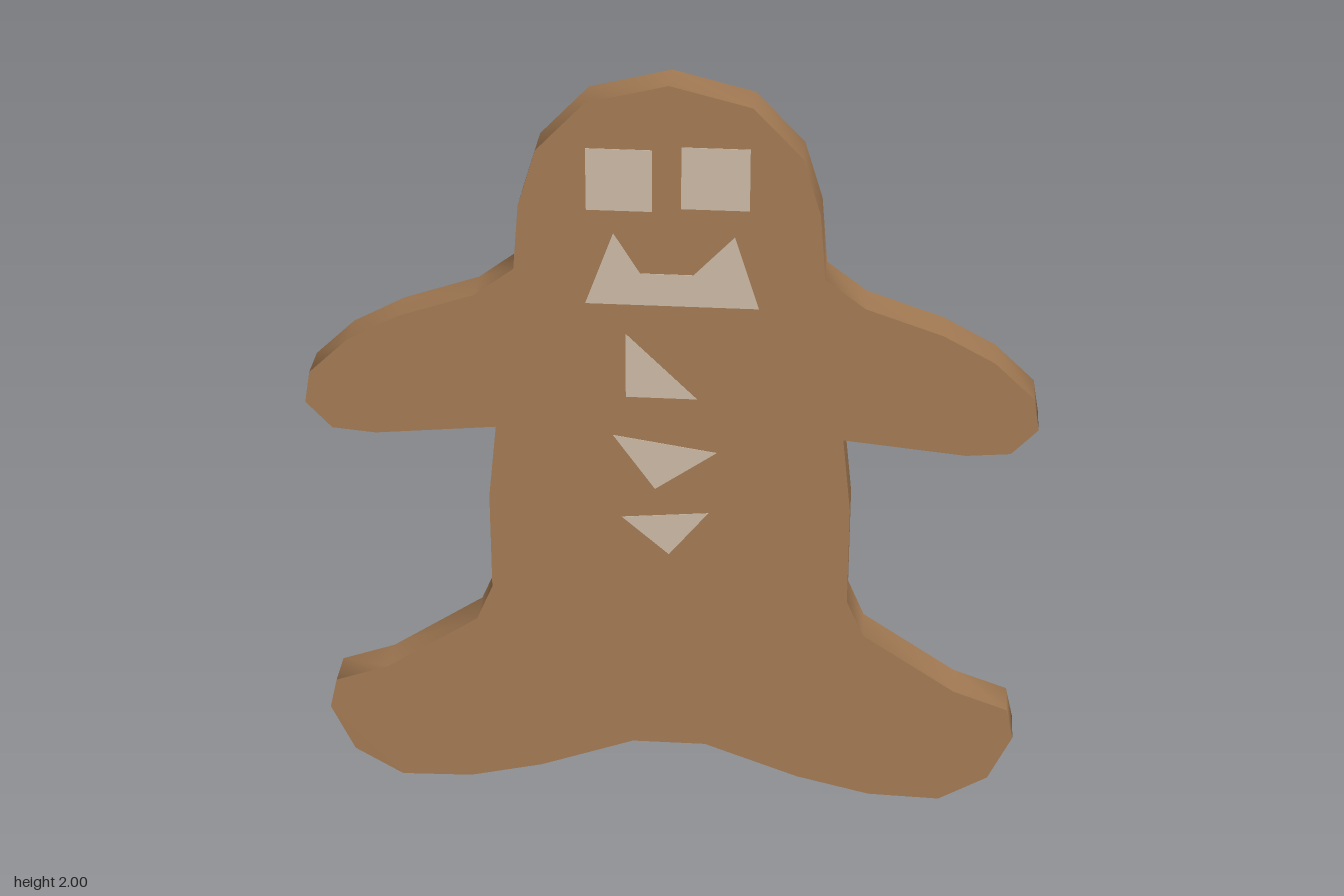
import * as THREE from 'three';
import { toCreasedNormals } from 'three/addons/utils/BufferGeometryUtils.js';

const BACK = -0.0525, FRONT = 0.0515;

// Flat slab cut from a list of [x, y] corners, between two depths
function slab(points, z0, z1) {
  const shape = new THREE.Shape(points.map(([x, y]) => new THREE.Vector2(x, y)));
  const geometry = new THREE.ExtrudeGeometry(shape, { depth: z1 - z0, bevelEnabled: false });
  return geometry.translate(0, 0, z0);
}

export function createModel() {
  const group = new THREE.Group();
  group.name = 'gingerbreadCookie';

  const gingerbread = new THREE.MeshStandardMaterial({ color: 0xa47b54 });
  gingerbread.name = 'gingerbread brown';
  const icing = new THREE.MeshStandardMaterial({ color: 0xcdbba6 });
  icing.name = 'pale icing';

  function add(name, geometry, material) {
    const mesh = new THREE.Mesh(geometry, material);
    mesh.name = name;
    group.add(mesh);
  }

  // Left half of the outline, from the crown down to the crotch
  const half = [
    [0, 2], [0.2, 1.95], [0.32, 1.825], [0.365, 1.68], [0.38, 1.51], // head
    [0.48, 1.435], [0.67, 1.37], [0.8, 1.3], [0.9, 1.205], [0.915, 1.12], // arm
    [0.85, 1.05], [0.74, 1.04], [0.435, 1.07],
    [0.457, 0.87], [0.457, 0.6], [0.5, 0.5], // waist
    [0.74, 0.34], [0.88, 0.29], [0.9, 0.205], [0.84, 0.075], // leg
    [0.715, 0], [0.53, 0.005], [0.34, 0.05], [0.095, 0.14],
  ];
  const mirrored = half.slice(1).reverse().map(([x, y]) => [-x, y]);

  // Body: soft rim, sharp edges to the flat faces
  const body = slab([...half, ...mirrored], BACK, FRONT);
  add('body', toCreasedNormals(body, 1.45), gingerbread);

  // Icing: thin plates on the front face
  const decorations = {
    rightEye: [[-0.2, 1.675], [-0.04, 1.675], [-0.04, 1.835], [-0.2, 1.835]],
    leftEye: [[0.03, 1.685], [0.195, 1.685], [0.195, 1.845], [0.03, 1.845]],
    mouth: [[-0.205, 1.425], [0.22, 1.425], [0.16, 1.615], [0.06, 1.51], [-0.07, 1.51], [-0.135, 1.615]],
    topButton: [[-0.107, 1.17], [0.07, 1.17], [-0.107, 1.345]],
    middleButton: [[-0.14, 1.06], [-0.035, 0.91], [0.12, 1.02]],
    bottomButton: [[-0.12, 0.825], [0, 0.72], [0.1, 0.845]],
  };
  for (const [name, points] of Object.entries(decorations)) {
    add(name, slab(points, FRONT - 0.002, FRONT + 0.0015), icing);
  }

  return group;
}
